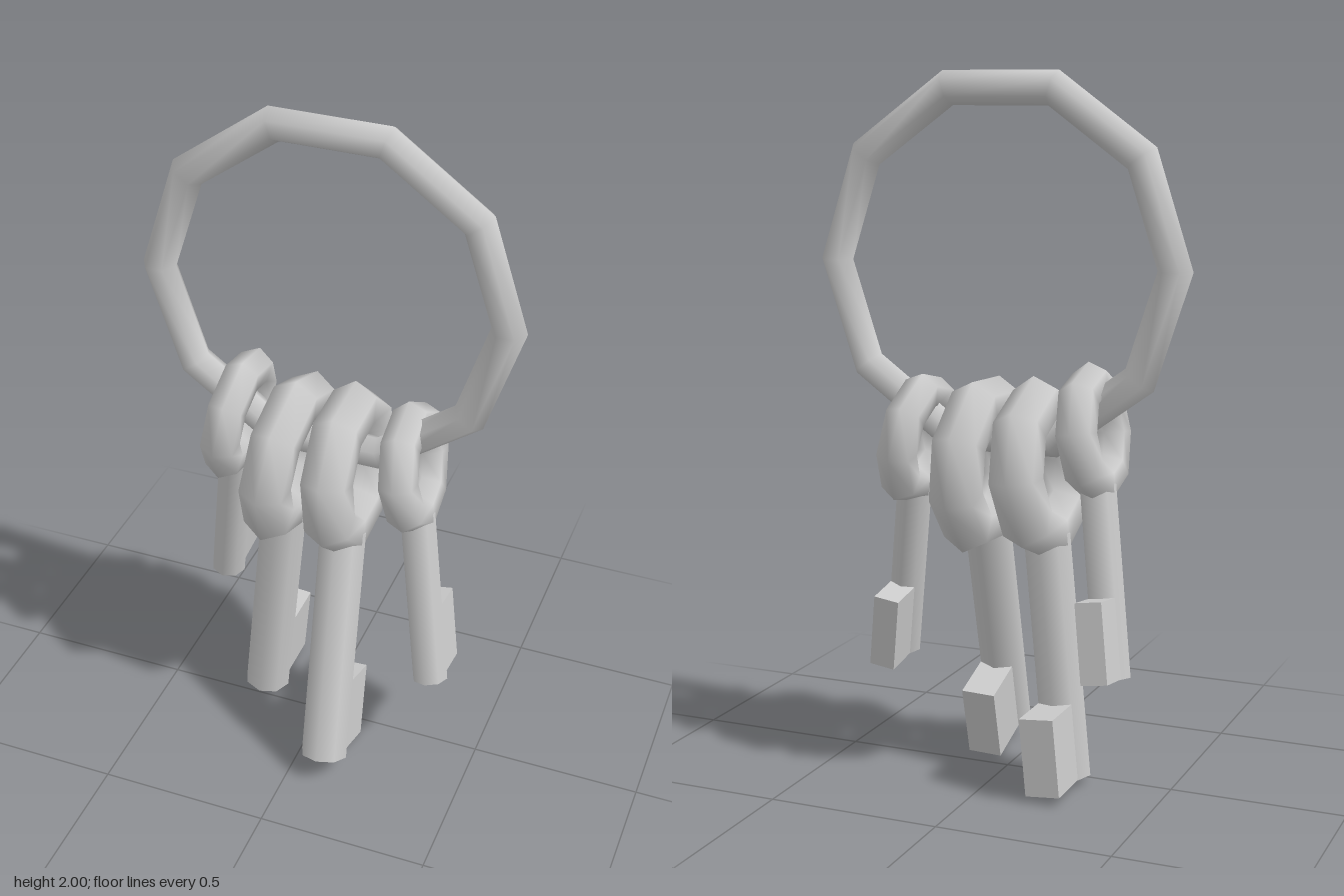
import * as THREE from 'three';

const material = new THREE.MeshStandardMaterial({ color: 0xcccccc });

function part(name, geometry, parent) {
  const mesh = new THREE.Mesh(geometry, material);
  mesh.name = name;
  parent.add(mesh);
  return mesh;
}

// A key hanging from the centre of its loop to the tip of its shaft.
function makeKey(name, head, tip, scale) {
  const centre = new THREE.Vector3(...head);
  const up = centre.clone().sub(new THREE.Vector3(...tip));
  const length = up.length();
  up.normalize();

  const key = new THREE.Group();
  key.name = name;
  key.position.copy(centre);
  key.rotation.set(Math.atan2(up.z, up.y), 0, -Math.asin(up.x));

  // Loop, its axis pointing sideways
  const major = 0.185 * scale;
  part('keyLoop', new THREE.TorusGeometry(major, 0.075 * scale, 6, 8).rotateY(Math.PI / 2), key);

  // Eight-sided shaft running into the loop
  const shaftLength = length - major;
  part('keyShaft', new THREE.CylinderGeometry(0.07 * scale, 0.07 * scale, shaftLength, 8), key)
    .position.y = -major - shaftLength / 2;

  // Block-shaped bit at the tip, pointing backwards
  const depth = 0.195 * scale, height = 0.222;
  part('keyBit', new THREE.BoxGeometry(0.1 * scale, height, depth), key)
    .position.set(0, -length + height / 2 + 0.001, -depth / 2);
  return key;
}

export function createModel() {
  const model = new THREE.Group();
  model.name = 'keyRing';

  // Ten-sided carrying ring
  part('ring', new THREE.TorusGeometry(0.505, 0.05, 6, 10), model).position.set(0, 1.472, -0.053);

  // Four keys: loop centre, shaft tip, scale
  const keys = [
    ['outerRightKey', [-0.28, 1.02, -0.055], [-0.375, 0.362, -0.153], 0.76],
    ['innerRightKey', [-0.125, 0.91, -0.055], [-0.207, 0.025, -0.052], 1],
    ['innerLeftKey', [0.058, 0.91, -0.055], [0.098, 0.07, 0.243], 1],
    ['outerLeftKey', [0.255, 0.968, -0.055], [0.364, 0.308, 0.06], 0.76],
  ];
  for (const key of keys) model.add(makeKey(...key));

  return model;
}
